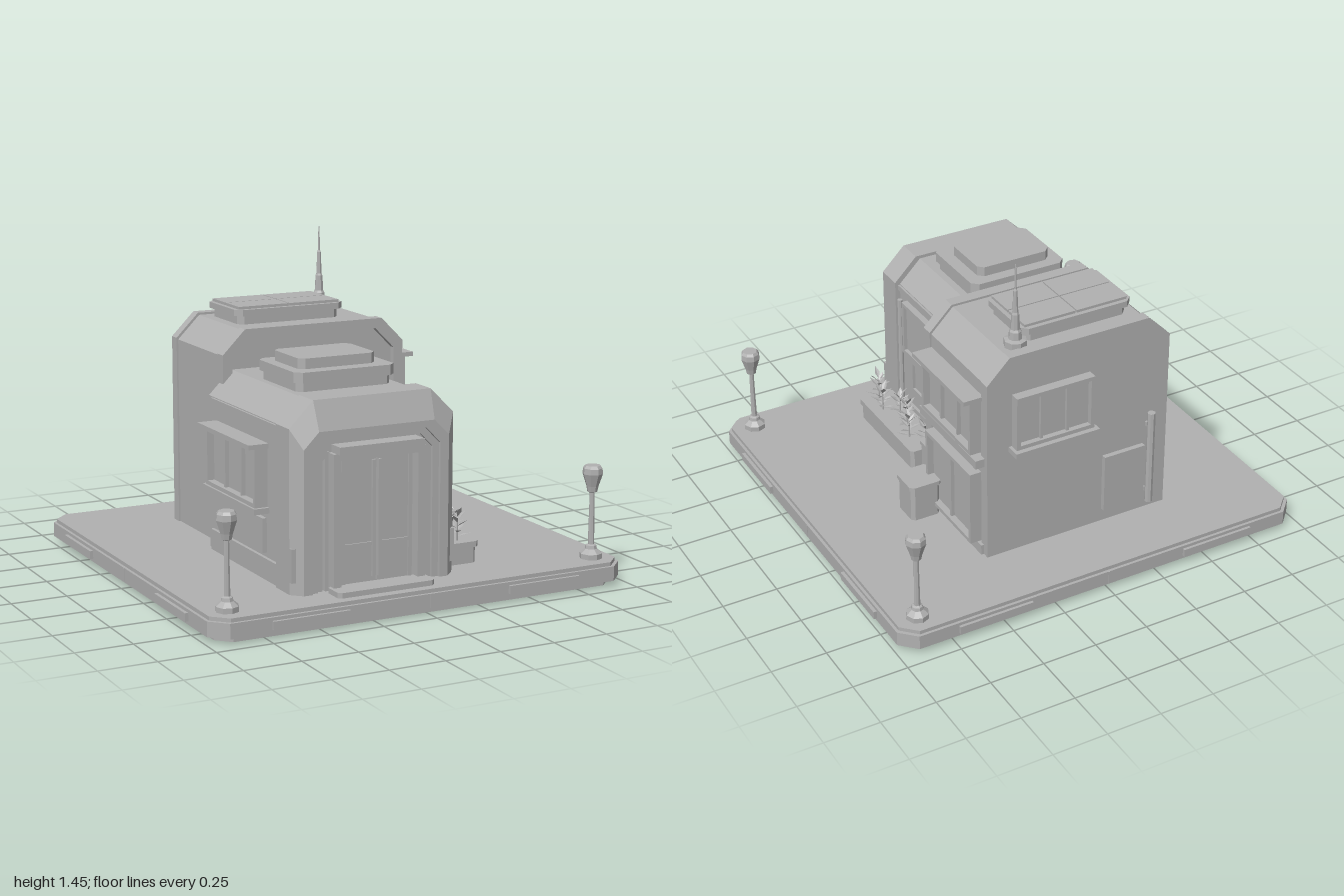
import * as THREE from 'three';

export function createModel() {
  const root = new THREE.Group();
  const grey = new THREE.MeshStandardMaterial({ color: 0xb0b0b0, flatShading: true, side: THREE.DoubleSide });
  grey.name = 'plain grey';

  const add = (name, geo, parent = root) => {
    const m = new THREE.Mesh(geo, grey);
    m.name = name;
    parent.add(m);
    return m;
  };
  // Box given by its limits on each axis
  const box = (name, x0, x1, y0, y1, z0, z1, parent = root) => {
    const m = add(name, new THREE.BoxGeometry(x1 - x0, y1 - y0, z1 - z0), parent);
    m.position.set((x0 + x1) / 2, (y0 + y1) / 2, (z0 + z1) / 2);
    return m;
  };
  const shapeOf = (pts) => new THREE.Shape(pts.map(([x, y]) => new THREE.Vector2(x, y)));
  // Flat slab with cut corners in plan
  const slab = (name, x0, x1, y0, y1, z0, z1, c) => {
    const pts = [[x0 + c, -z1], [x1 - c, -z1], [x1, -z1 + c], [x1, -z0 - c],
      [x1 - c, -z0], [x0 + c, -z0], [x0, -z0 - c], [x0, -z1 + c]];
    const g = new THREE.ExtrudeGeometry(shapeOf(pts), { depth: y1 - y0, bevelEnabled: false });
    g.rotateX(-Math.PI / 2);
    g.translate(0, y0, 0);
    return add(name, g);
  };
  const FLOOR = 0.107;
  // Wall section with sloping shoulders
  const section = (x0, x1, top, c, y0 = FLOOR) =>
    [[x1, y0], [x1, top - c], [x1 - c, top], [x0 + c, top], [x0, top - c], [x0, y0]];
  const extrudeZ = (name, pts, z0, z1) => {
    const g = new THREE.ExtrudeGeometry(shapeOf(pts), { depth: z1 - z0, bevelEnabled: false });
    g.translate(0, 0, z0);
    return add(name, g);
  };
  const arch = (name, outer, inner, z0, z1) => extrudeZ(name, [...outer, ...[...inner].reverse()], z0, z1);

  // Ground plate
  slab('baseFoot', -0.945, 0.945, 0, 0.025, -0.91, 0.91, 0.06);
  slab('basePlate', -0.985, 0.985, 0.025, 0.09, -0.945, 0.945, 0.07);
  slab('baseTop', -0.972, 0.972, 0.09, FLOOR, -0.932, 0.932, 0.066);
  for (const s of [-1, 1]) for (const t of [-1, 1]) {
    const [xa, xb] = s > 0 ? [0.38, 0.73] : [-0.73, -0.38];
    const [za, zb] = s > 0 ? [0.37, 0.69] : [-0.69, -0.37];
    box('edgePanel', xa, xb, 0.04, 0.076, t * 0.95 - 0.008, t * 0.95 + 0.008);
    box('sidePanel', t * 0.99 - 0.01, t * 0.99 + 0.01, 0.04, 0.076, za, zb);
  }
  for (const t of [-1, 1]) {
    box('edgeSeam', -0.003, 0.003, 0.03, 0.09, t * 0.945 - 0.003, t * 0.945 + 0.003);
    box('sideSeam', t * 0.985 - 0.003, t * 0.985 + 0.003, 0.03, 0.09, -0.003, 0.003);
  }

  // Lamp posts
  const lathe = (name, pts, n, x, z) => {
    const m = add(name, new THREE.LatheGeometry(pts.map(([r, y]) => new THREE.Vector2(r, y)), n));
    m.position.set(x, 0, z);
  };
  for (const [x, z] of [[-0.875, 0.83], [0.87, 0.83], [0.87, -0.84]]) {
    lathe('lampPost', [[0, 0.1], [0.05, 0.1], [0.05, 0.13], [0.027, 0.15], [0.024, 0.165], [0.014, 0.17],
      [0.011, 0.4], [0.022, 0.405], [0.027, 0.43], [0.045, 0.485], [0.043, 0.51], [0.034, 0.522], [0, 0.522]], 8, x, z);
  }

  // Rear building: body between two raised edge frames
  const rear = section(-0.48, 0.417, 1.08, 0.108);
  extrudeZ('rearBody', section(-0.472, 0.409, 1.07, 0.106), -0.615, -0.09);
  arch('rearFrontFrame', rear, section(-0.435, 0.372, 1.035, 0.095), -0.115, -0.06);
  extrudeZ('rearBackFrame', rear, -0.622, -0.57);

  // Front building
  extrudeZ('frontBody', section(-0.53, 0.19, 0.9, 0.106), -0.1, 0.63);
  box('leftSkirt', -0.545, -0.5, FLOOR, 0.2, -0.06, 0.63);
  box('rightSkirt', 0.15, 0.205, FLOOR, 0.2, -0.06, 0.63);
  box('leftEave', -0.54, -0.5, 0.765, 0.79, -0.06, 0.63);
  box('rightEave', 0.16, 0.2, 0.765, 0.79, -0.06, 0.63);

  // Entrance portal with sloping hood and stepped jambs
  const outer = section(-0.555, 0.215, 0.915, 0.11);
  const lip = section(-0.51, 0.17, 0.79, 0.07);
  const jambs = [lip, section(-0.47, 0.13, 0.76, 0.07), section(-0.44, 0.1, 0.735, 0.06), section(-0.41, 0.07, 0.71, 0.05)];
  arch('portal', outer, jambs[3], 0.62, 0.745);
  const hood = [];
  for (let i = 0; i < outer.length - 1; i++) {
    const a = [...outer[i], 0.745], b = [...outer[i + 1], 0.745];
    const c = [...lip[i + 1], 0.79], d = [...lip[i], 0.79];
    hood.push(...a, ...b, ...c, ...a, ...c, ...d);
  }
  const hoodGeo = new THREE.BufferGeometry();
  hoodGeo.setAttribute('position', new THREE.Float32BufferAttribute(hood, 3));
  hoodGeo.computeVertexNormals();
  add('portalHood', hoodGeo);
  for (let i = 0; i < 3; i++) arch('jambStep', jambs[i], jambs[i + 1], 0.7, 0.79 - i * 0.014);
  for (const x of [-0.535, 0.195]) {
    box('portalFoot', x - 0.02, x + 0.02, 0.16, 0.305, 0.68, 0.765);
  }

  // Double door, centred at x = -0.17
  box('doorBacking', -0.4, 0.06, FLOOR, 0.7, 0.7, 0.765);
  for (const s of [-1, 1]) {
    const at = (a, b) => [-0.17 + s * a, -0.17 + s * b].sort((p, q) => p - q);
    box('doorPost', ...at(0.18, 0.215), FLOOR, 0.69, 0.73, 0.815);
    box('doorLeaf', ...at(0.006, 0.165), 0.13, 0.67, 0.76, 0.78);
    box('doorLowerRail', ...at(0.006, 0.165), 0.285, 0.3, 0.77, 0.787);
    box('doorStile', ...at(0.006, 0.022), 0.15, 0.65, 0.77, 0.79);
    box('doorOuterStile', ...at(0.15, 0.165), 0.13, 0.67, 0.77, 0.787);
  }
  box('doorLintel', -0.385, 0.045, 0.665, 0.695, 0.73, 0.815);
  box('doorHeader', -0.37, 0.025, 0.695, 0.728, 0.75, 0.84);
  slab('doorStep', -0.4, 0.055, FLOOR, 0.13, 0.78, 0.89, 0.015);

  // Framed window in its own plane: origin at wall surface, facing local +z
  const windowUnit = (name, w, y0, y1, panes, depth, place, opts = {}) => {
    const g = new THREE.Group();
    g.name = name;
    const f = 0.018, h = w / 2;
    box('pane', -h + f, h - f, y0 + f, y1 - f, -0.01, depth * 0.45, g);
    box('frameBottom', -h, h, y0, y0 + f, -0.01, depth, g);
    box('frameTop', -h, h, y1 - f, y1, -0.01, depth, g);
    for (const s of [-1, 1]) box('frameSide', s * (h - f / 2) - f / 2, s * (h - f / 2) + f / 2, y0, y1, -0.01, depth, g);
    for (let i = 1; i < panes; i++) {
      const x = -h + w * i / panes;
      box('mullion', x - 0.006, x + 0.006, y0 + f, y1 - f, 0, depth * 0.75, g);
    }
    if (opts.awning) box('awning', -h - 0.012, h + 0.012, y1, y1 + 0.02, -0.01, opts.awning, g);
    if (opts.sill) box('sill', -h - 0.015, h + 0.015, y0 - 0.025, y0, -0.01, opts.sill, g);
    g.position.set(place[0], 0, place[1]);
    g.rotation.y = place[2];
    root.add(g);
  };
  const R = Math.PI / 2;
  windowUnit('rearUpperWindow', 0.44, 0.62, 0.88, 3, 0.06, [0.409, -0.347, R], { awning: 0.095 });
  windowUnit('rearSideDoor', 0.41, 0.155, 0.51, 2, 0.055, [0.409, -0.35, R]);
  box('rearLedge', 0.4, 0.46, 0.565, 0.605, -0.6, -0.09);
  box('rearSidePlinth', 0.4, 0.43, FLOOR, 0.155, -0.59, -0.09);
  windowUnit('displayPanel', 0.55, 0.475, 0.74, 1, 0.03, [0.19, 0.275, R]);
  windowUnit('lowerWindow', 0.47, 0.3, 0.47, 3, 0.025, [0.19, 0.245, R]);
  windowUnit('leftWindow', 0.5, 0.42, 0.675, 3, 0.06, [-0.53, 0.24, -R], { awning: 0.092, sill: 0.07 });
  windowUnit('backWindow', 0.38, 0.645, 0.9, 3, 0.045, [0.108, -0.622, Math.PI], { sill: 0.068 });
  box('leftLowerPanel', -0.55, -0.52, 0.22, 0.37, 0, 0.48);

  // Wall pipes, bracket and service hatch
  const pipe = (name, x, z, y0, y1, r) => {
    add(name, new THREE.CylinderGeometry(r, r, y1 - y0, 8)).position.set(x, (y0 + y1) / 2, z);
  };
  pipe('sidePipe', 0.215, 0.575, 0.2, 0.74, 0.012);
  pipe('backPipe', -0.38, -0.657, 0.16, 0.62, 0.018);
  box('pipeClip', -0.39, -0.37, 0.2, 0.22, -0.66, -0.61);
  box('pipeClip', -0.39, -0.37, 0.54, 0.56, -0.66, -0.61);
  box('backHatch', -0.36, -0.155, 0.17, 0.45, -0.645, -0.61);
  box('wallBracket', 0.18, 0.225, 0.73, 0.752, -0.04, 0.08);

  // Roof units
  slab('frontRoofUnitBase', -0.395, 0.05, 0.89, 0.94, 0.15, 0.51, 0.025);
  slab('frontRoofUnitLip', -0.41, 0.065, 0.94, 0.985, 0.135, 0.525, 0.03);
  slab('frontRoofUnitCap', -0.36, 0.005, 0.985, 1.03, 0.19, 0.455, 0.025);
  slab('rearRoofUnitBase', -0.32, 0.18, 1.06, 1.11, -0.525, -0.23, 0.025);
  slab('rearRoofUnitLip', -0.34, 0.2, 1.11, 1.138, -0.54, -0.215, 0.03);
  for (const x of [-0.32, -0.067]) for (const z of [-0.52, -0.375]) {
    box('solarPanel', x, x + 0.247, 1.135, 1.15, z, z + 0.139);
  }

  // Antenna
  lathe('antenna', [[0.05, 1.06], [0.05, 1.1], [0.03, 1.105], [0.027, 1.14], [0.021, 1.15], [0.017, 1.22],
    [0.013, 1.23], [0.009, 1.33], [0.005, 1.34], [0.003, 1.45], [0, 1.452]], 8, 0.228, -0.525);

  // Utility boxes with lids
  slab('utilityBox', 0.435, 0.575, FLOOR, 0.265, -0.225, -0.085, 0.015);
  slab('utilityBoxLid', 0.425, 0.583, 0.265, 0.283, -0.232, -0.078, 0.018);
  slab('tallUtilityBox', 0.2, 0.395, FLOOR, 0.315, -0.055, 0.043, 0.015);
  slab('tallUtilityBoxLid', 0.2, 0.402, 0.315, 0.332, -0.06, 0.05, 0.018);

  // Planter and leafy plants
  slab('planter', 0.235, 0.388, FLOOR, 0.18, 0.145, 0.665, 0.015);
  slab('planterRim', 0.225, 0.395, 0.18, 0.205, 0.135, 0.675, 0.015);
  const leafGeo = new THREE.BufferGeometry();
  leafGeo.setAttribute('position', new THREE.Float32BufferAttribute(
    [0, 0, 0, 0.013, 0.03, 0.004, 0, 0.06, 0.014, 0, 0, 0, 0, 0.06, 0.014, -0.013, 0.03, 0.004], 3));
  leafGeo.computeVertexNormals();
  const spots = [[0.3, 0.17], [0.34, 0.26], [0.3, 0.36], [0.29, 0.45], [0.34, 0.53], [0.31, 0.63]];
  spots.forEach(([x, z], i) => {
    const plant = new THREE.Group();
    plant.name = 'plant';
    plant.position.set(x, 0.2, z);
    const tall = 0.085 + 0.02 * (i % 3 === 2 ? 1 : 0.4);
    add('stem', new THREE.CylinderGeometry(0.003, 0.005, tall, 5), plant).position.y = tall / 2;
    for (let k = 0; k < 12; k++) {
      const leaf = add('leaf', leafGeo, plant);
      leaf.position.y = 0.015 + (k / 12) * tall;
      leaf.rotation.set(1.15 - k * 0.07, k * 2.4 + i, 0, 'YXZ');
    }
    root.add(plant);
  });
  return root;
}
